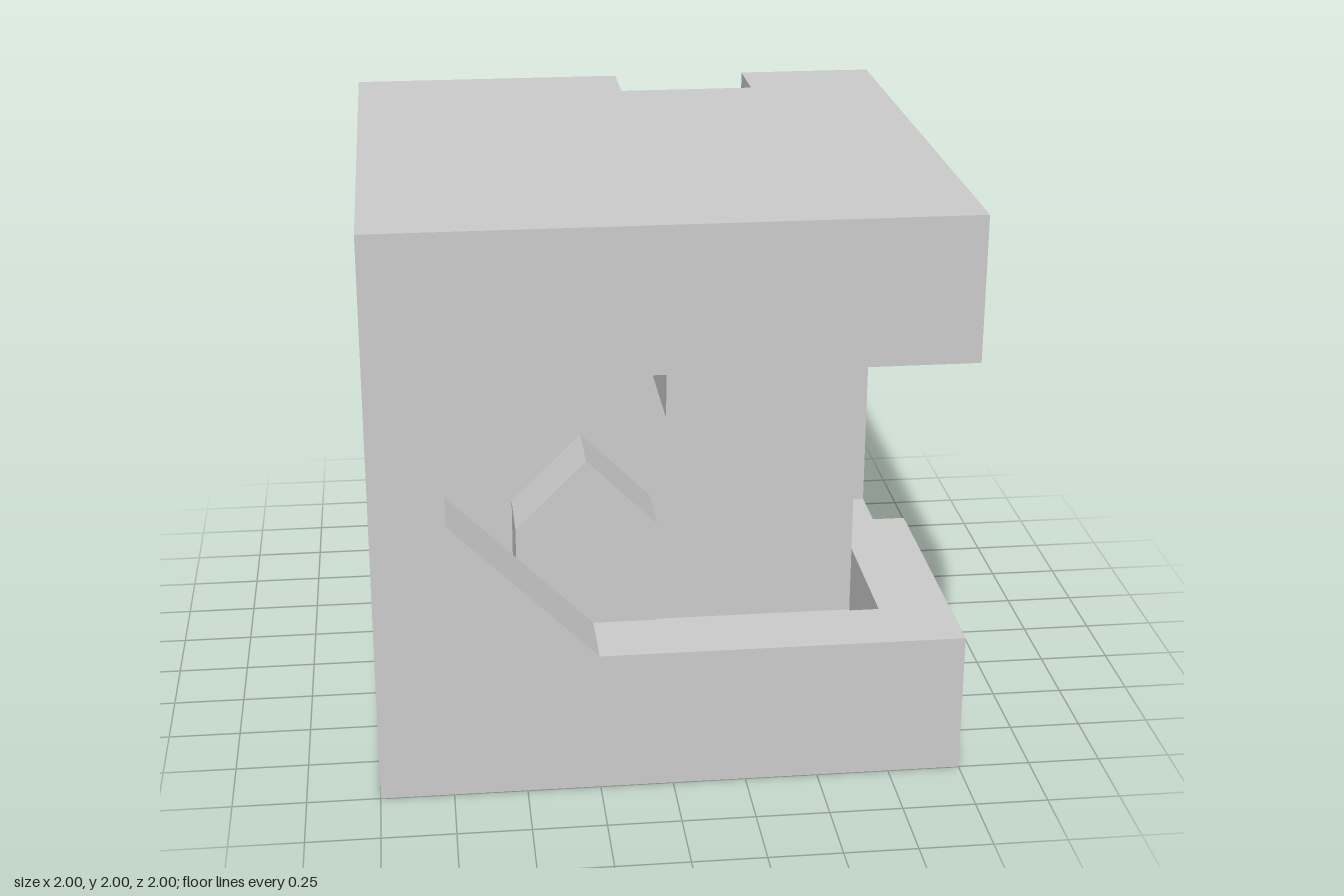
import * as THREE from 'three';

const material = new THREE.MeshStandardMaterial({ color: 0xcccccc, flatShading: true });

// Extrude a polygon from a to b along local z
function prism(points, a, b) {
  const shape = new THREE.Shape(points.map(([u, v]) => new THREE.Vector2(u, v)));
  return new THREE.ExtrudeGeometry(shape, { depth: b - a, bevelEnabled: false, steps: 1 }).translate(0, 0, a);
}
// Points are (x, y), running along z
const alongZ = (points, a, b) => prism(points, a, b);
// Points are (z, y), running along x
const alongX = (points, a, b) => prism(points.map(([z, y]) => [-z, y]), a, b).rotateY(Math.PI / 2);
// Points are (x, z), running along y
const alongY = (points, a, b) => prism(points.map(([x, z]) => [x, -z]), a, b).rotateX(-Math.PI / 2);

export function createModel() {
  const group = new THREE.Group();
  const add = (name, geometry) => {
    const mesh = new THREE.Mesh(geometry, material);
    mesh.name = name;
    group.add(mesh);
  };

  // Base plate, stepped in at one back corner
  add('basePlate', alongY([[-1, 1], [1, 1], [1, -1], [0, -1], [0, -0.75], [-1, -0.75]], 0, 0.25));

  // Raised floor with a trench open to -x and a pit open to +x
  add('raisedFloor', alongY([
    [-1, 1], [1, 1], [1, 0], [0.25, 0], [0.25, -0.75], [1, -0.75], [1, -1],
    [0, -1], [0, -0.75], [-1, -0.75], [-1, 0.25], [0.75, 0.25], [0.75, 0.75], [-1, 0.75],
  ], 0.25, 0.5));

  // Roof plate, notched at the back
  add('roofPlate', alongY([
    [-1, 1], [1, 1], [1, -1], [0.5, -1], [0.5, -0.75], [0, -0.75], [0, -1], [-1, -1],
  ], 1.75, 2));

  // Walls: pillars, lintels and corner braces
  add('frontWall', alongZ([
    [-1, 0.5], [-0.25, 0.5], [-0.75, 1], [-0.75, 1.5], [1, 1.5], [1, 1.75], [-1, 1.75],
  ], 0.75, 1));
  add('leftWall', alongX([
    [-1, 0.5], [-0.75, 0.5], [-0.75, 1], [-0.25, 1.5], [0.75, 1.5], [0.75, 1.75], [-1, 1.75],
  ], 0.75, 1));
  const brace = [[0.5, 1.75], [0.75, 1.5], [0.75, 1.75]];
  add('backBrace', alongZ(brace, -1, -0.75));
  add('rightBrace', alongX(brace, -1, -0.75));

  // Central gabled block, undercut on its back half
  add('blockFront', alongZ([[-0.75, 0.5], [0.75, 0.5], [0.75, 1.25], [-0.75, 1.25]], 0, 0.25));
  add('blockBack', alongZ([
    [-0.75, 0.5], [0, 0.5], [0, 0.75], [0.25, 1], [0.75, 1], [0.75, 1.25], [-0.75, 1.25],
  ], -0.25, 0));
  add('blockGable', alongX([[-0.25, 1.25], [0.25, 1.25], [0, 1.5]], -0.75, 0.75));

  // Low gabled bar crossing the block
  add('crossBar', alongZ([[-0.5, 0.25], [0, 0.25], [0, 0.75], [-0.25, 1], [-0.5, 0.75]], -0.75, 0.5));

  // Pointed bar hanging from the roof
  add('hangingBar', alongZ([[0, 1.75], [0, 1.25], [0.25, 1], [0.5, 1.25], [0.5, 1.75]], 0, 0.75));

  return group;
}
